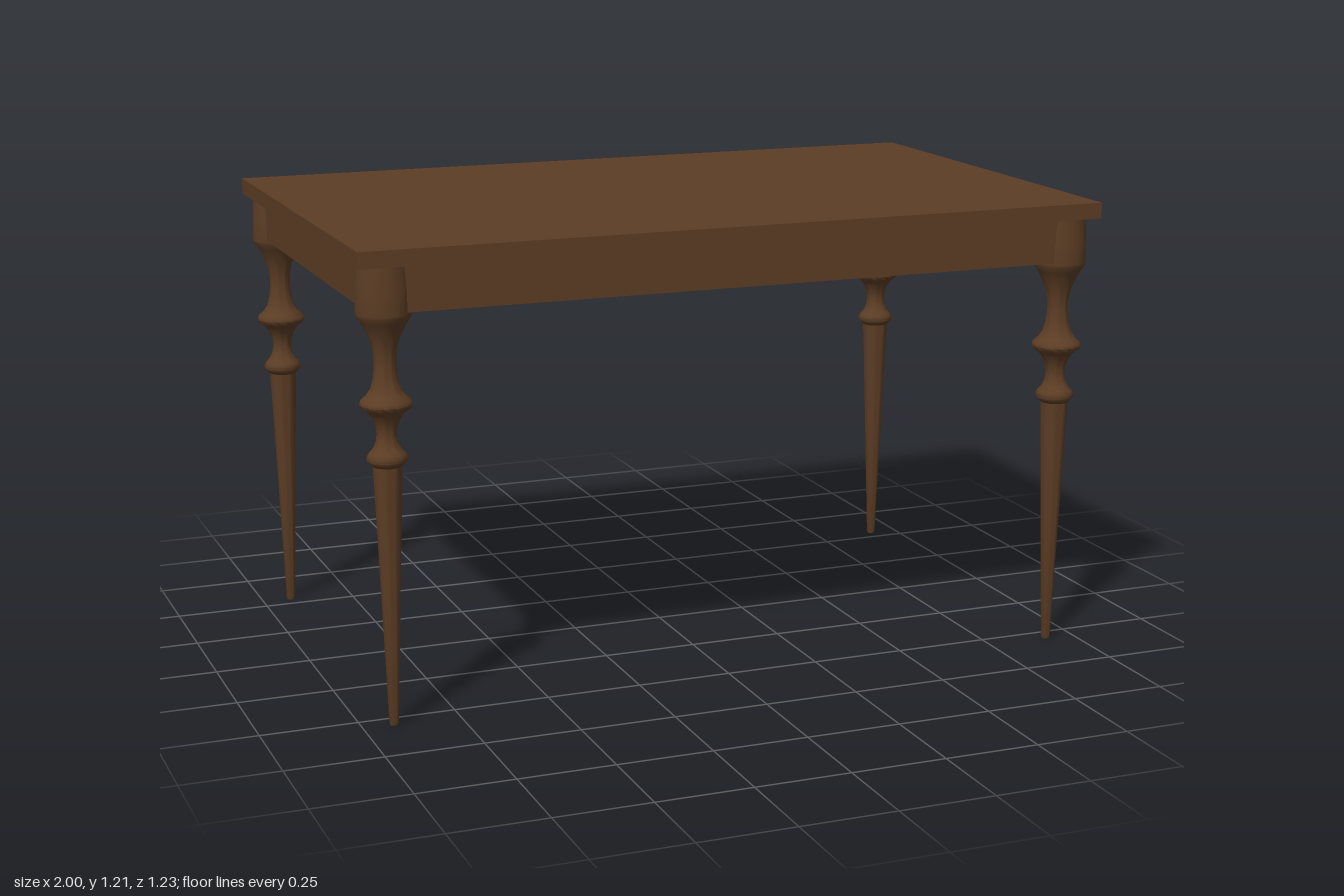
import * as THREE from 'three';
import { toCreasedNormals } from 'three/addons/utils/BufferGeometryUtils.js';

const wood = new THREE.MeshStandardMaterial({ color: 0x5c3d24 });
wood.name = 'dark wood';

// Turned leg outline: radius, height
const legProfile = [
  [0, 0], [0.01, 0], [0.012, 0.008], [0.026, 0.4], [0.036, 0.665],
  [0.044, 0.672], [0.05, 0.68], [0.051, 0.687], [0.045, 0.697],
  [0.034, 0.71], [0.027, 0.727], [0.025, 0.745], [0.027, 0.763], [0.035, 0.784],
  [0.046, 0.8], [0.061, 0.811], [0.065, 0.82], [0.062, 0.829],
  [0.049, 0.84], [0.037, 0.858], [0.03, 0.885], [0.027, 0.915], [0.028, 0.945],
  [0.034, 0.972], [0.045, 1.0], [0.057, 1.022], [0.068, 1.038],
  [0.069, 1.045], [0.068, 1.1], [0.065, 1.165], [0, 1.165],
].map(([r, y]) => new THREE.Vector2(r, y));

export function createModel() {
  const table = new THREE.Group();
  table.name = 'table';

  function add(name, geometry, x, y, z) {
    const mesh = new THREE.Mesh(geometry, wood);
    mesh.name = name;
    mesh.position.set(x, y, z);
    table.add(mesh);
  }

  add('tabletop', new THREE.BoxGeometry(2, 0.042, 1.234), 0, 1.186, 0);

  // Aprons: long front/back rails and short side rails between the legs
  const longRail = new THREE.BoxGeometry(1.84, 0.115, 0.06);
  const shortRail = new THREE.BoxGeometry(0.06, 0.115, 1.09);
  for (const s of [1, -1]) {
    add(s > 0 ? 'frontApron' : 'backApron', longRail, 0, 1.1075, s * 0.567);
    add(s > 0 ? 'leftApron' : 'rightApron', shortRail, s * 0.934, 1.1075, 0);
  }

  // Four turned legs
  const leg = toCreasedNormals(new THREE.LatheGeometry(legProfile, 28), 0.75);
  for (const sx of [1, -1]) {
    for (const sz of [1, -1]) {
      const name = (sz > 0 ? 'front' : 'back') + (sx > 0 ? 'Left' : 'Right') + 'Leg';
      add(name, leg, sx * 0.92, 0, sz * 0.545);
    }
  }
  return table;
}
